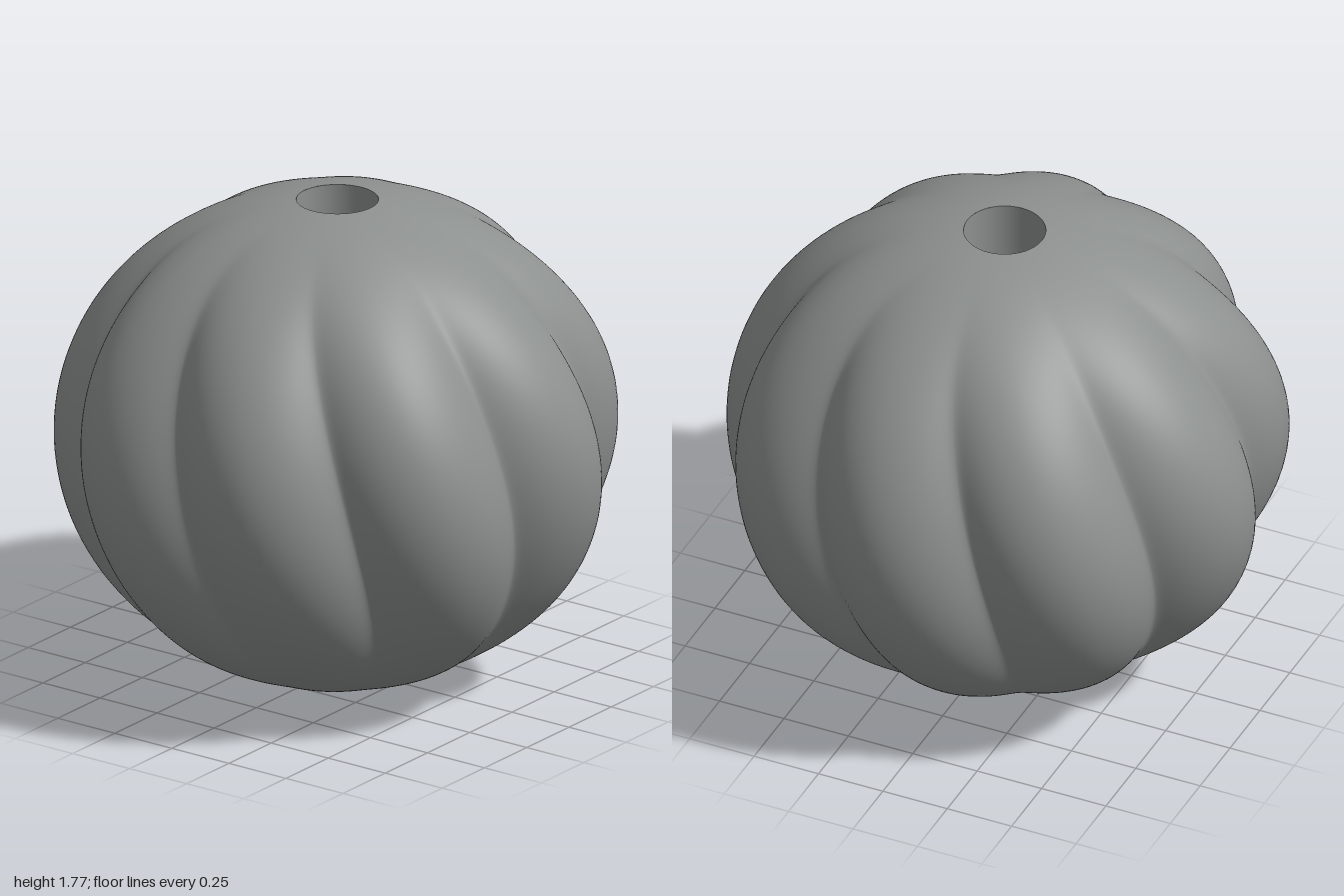
import * as THREE from 'three';

const LOBES = 9, PER_LOBE = 32, ROWS = 120;
const HEIGHT = 1.77, MID = HEIGHT / 2, RADIUS = 1.005, HOLE = 0.145;
const HALF = Math.PI / LOBES;
const TWIST = THREE.MathUtils.degToRad(15.5); // groove lean per unit of height
const START = THREE.MathUtils.degToRad(9);    // direction of the first lobe

// Cross-section of one lobe: an off-centre circle, softened at the groove; t runs -1..1
function lobeRadius(t, softness) {
  const gap = 1 - Math.abs(t);
  const soft = Math.sqrt(gap * gap + softness * softness) - softness * 0.3;
  const phi = HALF * Math.max(0, 1 - soft);
  const d = 0.65, r = 1 - d;
  return d * Math.cos(phi) + Math.sqrt(r * r - (d * Math.sin(phi)) ** 2);
}

// Melon-shaped shell whose columns follow the twisted grooves
function createShell() {
  const columns = LOBES * PER_LOBE;
  const positions = [], index = [];
  const endLatitude = Math.acos(HOLE / RADIUS);
  const semiHeight = MID / Math.sin(endLatitude);
  for (let i = 0; i <= ROWS; i++) {
    const latitude = THREE.MathUtils.lerp(-endLatitude, endLatitude, i / ROWS);
    const u = Math.cos(latitude);
    const y = MID + semiHeight * Math.sin(latitude);
    // grooves fade out towards the hole
    const depth = THREE.MathUtils.smoothstep(u, 0.12, 0.95);
    for (let j = 0; j < columns; j++) {
      const s = 2 * (j % PER_LOBE) / PER_LOBE - 1;
      const t = Math.sign(s) * (1 - (1 - Math.abs(s)) ** 1.5); // finer near grooves
      const angle = START + HALF * (2 * Math.floor(j / PER_LOBE) + t) + TWIST * (MID - y);
      const r = RADIUS * u * (1 - depth * (1 - lobeRadius(t, 0.06 + 0.25 * (1 - u))));
      positions.push(Math.sin(angle) * r, y, Math.cos(angle) * r);
      if (i < ROWS) {
        const next = (j + 1) % columns;
        const a = i * columns + j, b = i * columns + next;
        index.push(a, b, b + columns, a, b + columns, a + columns);
      }
    }
  }
  const geometry = new THREE.BufferGeometry();
  geometry.setAttribute('position', new THREE.Float32BufferAttribute(positions, 3));
  geometry.setIndex(index);
  geometry.computeVertexNormals();
  return geometry;
}

export function createModel() {
  const group = new THREE.Group();
  group.name = 'flutedBead';
  const grey = new THREE.MeshStandardMaterial({ color: 0x8c908e, side: THREE.DoubleSide });
  grey.name = 'stone grey';

  const shell = new THREE.Mesh(createShell(), grey);
  shell.name = 'lobedShell';

  // Straight bore through the middle
  const bore = new THREE.Mesh(
    new THREE.CylinderGeometry(HOLE, HOLE, HEIGHT, 64, 1, true), grey);
  bore.name = 'bore';
  bore.position.y = MID;

  group.add(shell, bore);
  group.position.x = -0.02;
  return group;
}
